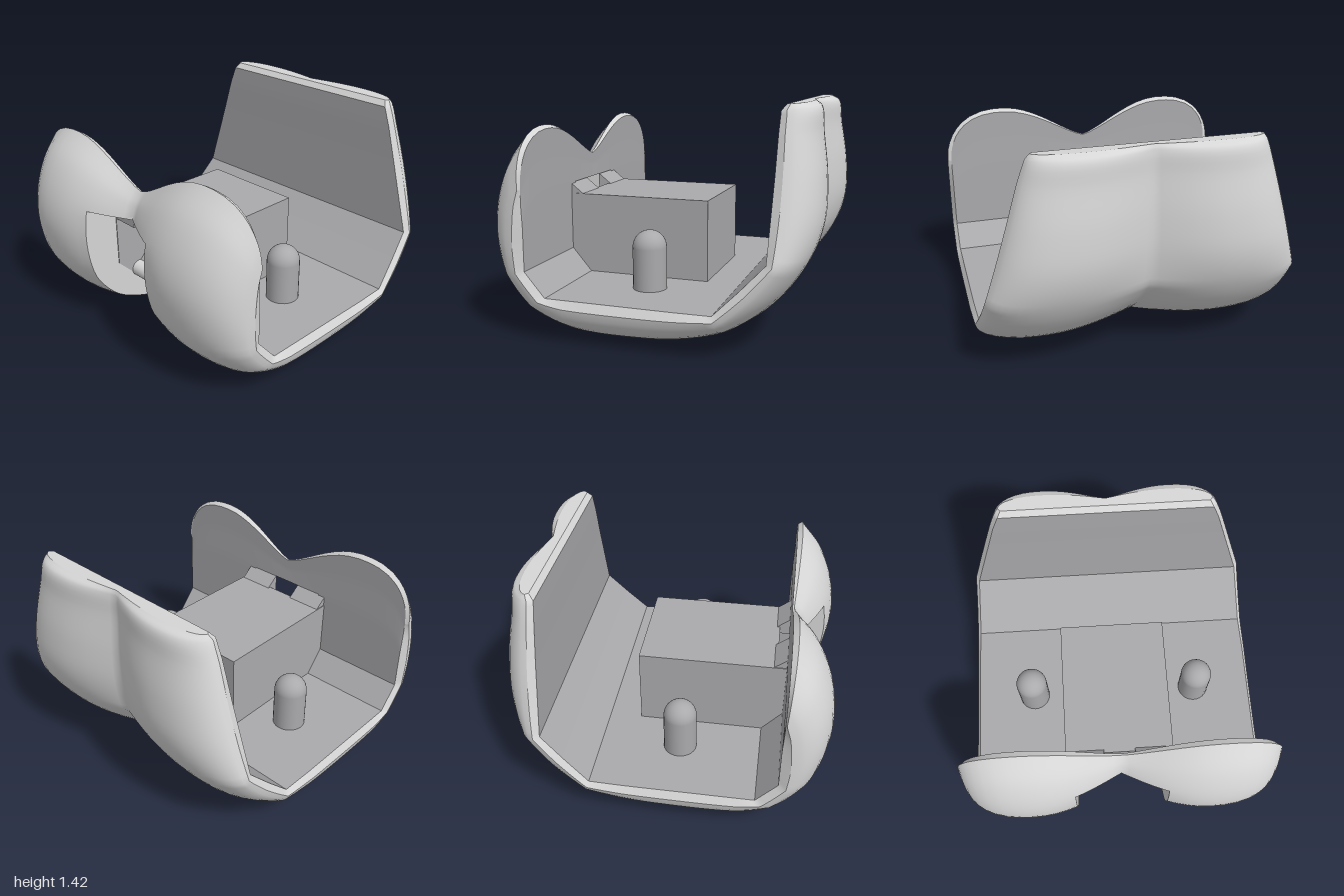
import * as THREE from 'three';
import { toCreasedNormals } from 'three/addons/utils/BufferGeometryUtils.js';

const makeMaterial = (name, color) => {
  const m = new THREE.MeshStandardMaterial({ color, side: THREE.DoubleSide });
  m.name = name;
  return m;
};
const light = makeMaterial('light grey', 0xd6d6d6);
const mid = makeMaterial('middle grey', 0xaaa9ac);

// Shell sections from front rim, under the floor, to back rim:
// outer z, outer y, inner z, inner y, half width
const SECTIONS = [
  [0.74, 1.27, 0.705, 1.25, 1], [0.88, 1.1, 0.705, 1.08, 1], [0.975, 0.87, 0.7, 0.87, 1],
  [0.995, 0.65, 0.7, 0.62, 1], [0.93, 0.38, 0.7, 0.43, 1], [0.76, 0.17, 0.57, 0.28, 1],
  [0.45, 0.03, 0.45, 0.28, 1], [0.02, 0.012, 0.02, 0.28, 1], [-0.23, 0.04, -0.23, 0.28, 1],
  [-0.5, 0.125, -0.45, 0.28, 0.995], [-0.75, 0.3, -0.6, 0.43, 0.975], [-0.92, 0.54, -0.74, 0.58, 0.955],
  [-0.985, 0.75, -0.745, 0.8, 0.888], [-0.985, 1, -0.75, 1.03, 0.818], [-0.95, 1.25, -0.752, 1.27, 0.746],
  [-0.93, 1.4, -0.755, 1.39, 0.7], [-0.88, 1.43, -0.785, 1.425, 0.675],
];
const SUB = 5;
const ROWS = (SECTIONS.length - 1) * SUB;
const HALF = [0.05, 0.1, 0.15, 0.2, 0.25, 0.29, 0.36, 0.43, 0.5, 0.58, 0.66, 0.74, 0.82, 0.88, 0.92, 0.95, 0.975, 0.99, 1];
const COLS = [...HALF.map((u) => -u).reverse(), 0, ...HALF];
const LAST = COLS.length - 1;

// Opening through the lower front and the underside
const HOLE = { top: 2 * SUB, bottom: 7 * SUB, left: COLS.indexOf(-0.29), right: COLS.indexOf(0.29) };
const inHole = (i, j) => i >= HOLE.top && i < HOLE.bottom && j >= HOLE.left && j < HOLE.right;

const curve = new THREE.CatmullRomCurve3(SECTIONS.map((s) => new THREE.Vector3(0, s[1], s[0])));

// Bulge of the two lobes across the width, with a crease in the middle
function bulge(u, v) {
  const a = Math.abs(u), peak = 0.57, low = THREE.MathUtils.lerp(0.3, 0.54, v);
  if (a < peak) return low + (1 - low) * Math.sin((Math.PI / 2) * (a / peak));
  return 0.2 + 0.8 * Math.pow(Math.max(0, 1 - Math.pow((a - peak) / (1 - peak), 2.5)), 0.55);
}

// Height of the double-arched front rim
function rimHeight(u) {
  const a = Math.abs(u);
  if (a < 0.6) return 1.04 + 0.23 * Math.pow(Math.sin((Math.PI / 2) * (a / 0.6)), 1.3);
  return 0.93 + 0.34 * Math.sqrt(Math.max(0, 1 - Math.pow((a - 0.6) / 0.4, 2.5)));
}

function shellPoint(i, j, outer) {
  const u = COLS[j], k = Math.min(Math.floor(i / SUB), SECTIONS.length - 2), f = i / SUB - k;
  const mix = (c) => THREE.MathUtils.lerp(SECTIONS[k][c], SECTIONS[k + 1][c], f);
  let z = mix(2), y = mix(3);
  let x = u * mix(4);
  if (outer) {
    const p = curve.getPoint(i / ROWS), t = bulge(u, i / ROWS);
    z += (p.z - z) * t;
    y += (p.y - y) * t;
  } else {
    x *= 1 - 0.025 * u ** 4;
  }
  // Fit the front wall under its arched rim
  const base = 0.87 - 0.4 * THREE.MathUtils.smoothstep(Math.abs(u), 0.29, 1);
  if (i < 5 * SUB && y > base) y = base + ((y - base) * (rimHeight(u) - base)) / (1.27 - base);
  return [x, y, z];
}

function meshGeometry(positions, index, crease) {
  const g = new THREE.BufferGeometry();
  g.setAttribute('position', new THREE.Float32BufferAttribute(positions, 3));
  g.setIndex(index);
  return toCreasedNormals(g, crease);
}

function shellSurface(outer, from, to) {
  const pos = [], index = [], n = COLS.length;
  for (let i = from; i <= to; i++) for (let j = 0; j < n; j++) pos.push(...shellPoint(i, j, outer));
  for (let i = from; i < to; i++) {
    for (let j = 0; j < LAST; j++) {
      if (inHole(i, j)) continue;
      const a = (i - from) * n + j, b = a + 1, c = a + n, d = c + 1;
      if (outer) index.push(a, c, b, b, c, d);
      else index.push(a, b, c, b, d, c);
    }
  }
  return meshGeometry(pos, index, outer ? 0.9 : 0.35);
}

// Strip joining the outer and inner surfaces along a line of grid points
function edgeStrip(points) {
  const pos = [], index = [];
  points.forEach(([i, j], k) => {
    pos.push(...shellPoint(i, j, true), ...shellPoint(i, j, false));
    if (k) index.push(2 * k - 2, 2 * k, 2 * k - 1, 2 * k - 1, 2 * k, 2 * k + 1);
  });
  return meshGeometry(pos, index, 0.6);
}

const range = (a, b) => Array.from({ length: b - a + 1 }, (_, k) => a + k);

// Side profile of [z, y] points extruded across x
function sideExtrude(points, width, x = 0) {
  const shape = new THREE.Shape(points.map((p) => new THREE.Vector2(p[0], p[1])));
  const g = new THREE.ExtrudeGeometry(shape, { depth: width, bevelEnabled: false });
  return g.translate(0, 0, -width / 2).rotateY(-Math.PI / 2).translate(x, 0, 0);
}

export function createModel() {
  const model = new THREE.Group();
  model.name = 'cradleShell';
  const add = (name, material, geometry, x = 0, y = 0, z = 0) => {
    const mesh = new THREE.Mesh(geometry, material);
    mesh.name = name;
    mesh.position.set(x, y, z);
    model.add(mesh);
    return mesh;
  };

  // Shell surfaces and rims
  add('outerShell', light, shellSurface(true, 0, ROWS));
  add('innerShell', mid, shellSurface(false, 0, ROWS - SUB));
  add('backRimBevel', light, shellSurface(false, ROWS - SUB, ROWS));
  for (const j of [0, LAST]) add('sideRim', light, edgeStrip(range(0, ROWS).map((i) => [i, j])));
  add('frontRim', light, edgeStrip(range(0, LAST).map((j) => [0, j])));
  add('backRim', light, edgeStrip(range(0, LAST).map((j) => [ROWS, j])));

  // Cut faces of the opening
  for (const i of [HOLE.top, HOLE.bottom]) add('openingEdge', light, edgeStrip(range(HOLE.left, HOLE.right).map((j) => [i, j])));
  for (const j of [HOLE.left, HOLE.right]) add('openingSide', light, edgeStrip(range(HOLE.top, HOLE.bottom).map((i) => [i, j])));

  // Hollow box above the opening
  for (const s of [-1, 1]) {
    const wall = [[-0.24, 0.27], [0.56, 0.27], [0.71, 0.42], [0.71, 0.8], [-0.24, 0.8]];
    add('boxSide', mid, sideExtrude(wall, 0.06, s * 0.315));
    add('boxTopFlap', mid, new THREE.BoxGeometry(0.24, 0.05, 0.08), s * 0.22, 0.775, 0.67);
    add('cornerWedge', mid, sideExtrude([[0.62, 0.8], [0.71, 0.8], [0.71, 0.87]], 0.24, s * 0.22));
  }
  add('boxTop', mid, new THREE.BoxGeometry(0.68, 0.05, 0.88), 0, 0.775, 0.2);
  add('boxBack', mid, new THREE.BoxGeometry(0.68, 0.53, 0.05), 0, 0.535, -0.215);
  add('boxCeilingRamp', mid, sideExtrude([[-0.2, 0.74], [0.1, 0.76], [0.1, 0.77], [-0.2, 0.77]], 0.58));
  add('boxFloorRamp', mid, sideExtrude([[-0.2, 0.275], [0.02, 0.275], [0.02, 0.38], [-0.19, 0.48]], 0.58));

  // Round bar across the opening, with a sloped ledge behind it
  add('crossBar', light, new THREE.CylinderGeometry(0.056, 0.056, 0.58, 24), 0, 0.327, 0.55).rotation.z = Math.PI / 2;
  add('barLedge', mid, sideExtrude([[0.54, 0.375], [0.44, 0.48], [0.42, 0.45], [0.5, 0.33]], 0.58));

  // Rounded pegs on the floor
  for (const s of [-1, 1]) add('peg', mid, new THREE.CapsuleGeometry(0.105, 0.3, 10, 28), s * 0.575, 0.39, 0.06);

  return model;
}
